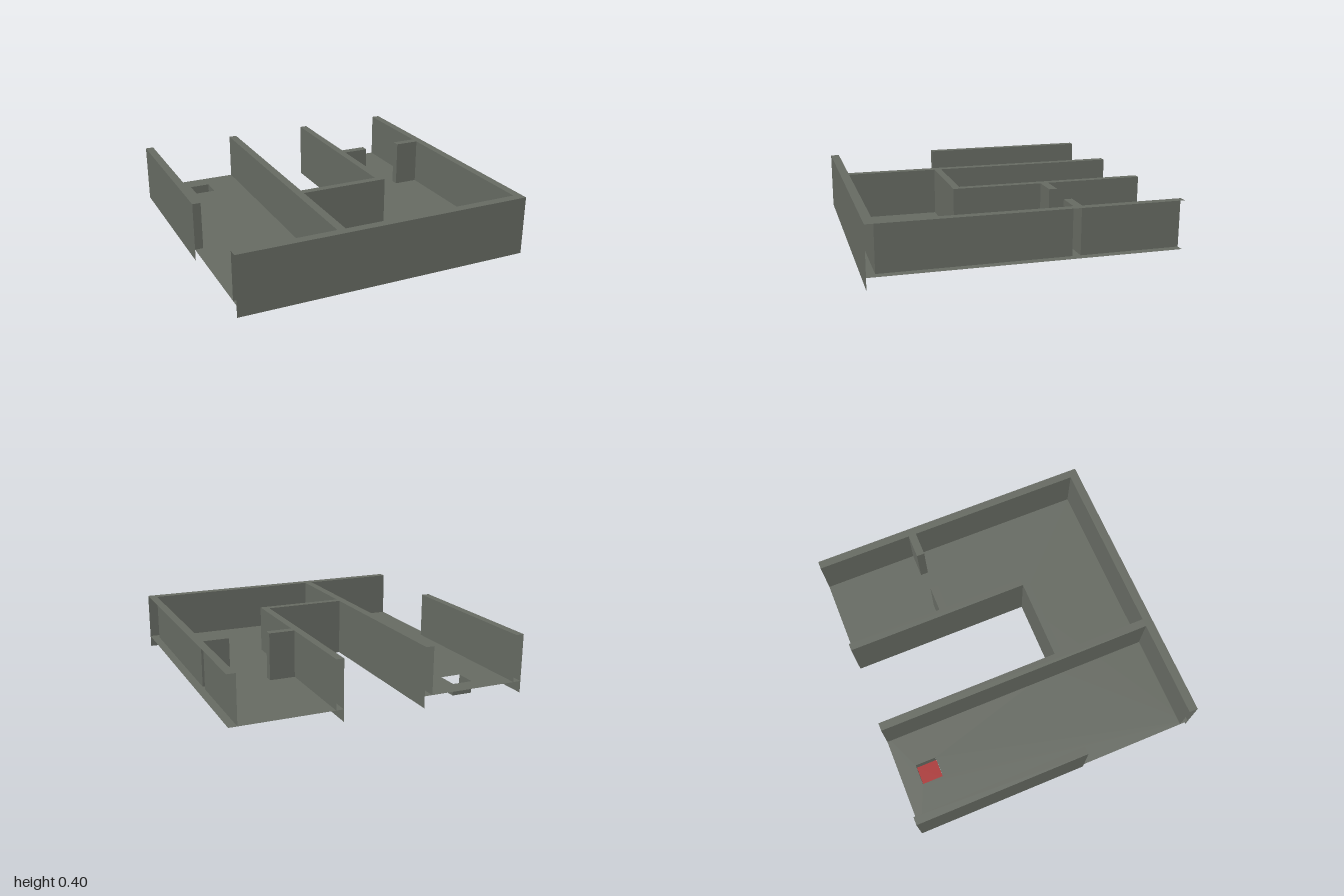
import * as THREE from 'three';

const FLOOR = 0.08, TOP = 0.4, X0 = -1, X1 = 0.995;

export function createModel() {
  const model = new THREE.Group();
  model.name = 'floorPlan';
  const plaster = new THREE.MeshStandardMaterial({ color: 0x666a62, side: THREE.DoubleSide });
  plaster.name = 'grey plaster';
  const red = new THREE.MeshStandardMaterial({ color: 0xa83434, side: THREE.DoubleSide });
  red.name = 'red panel';

  const add = (name, geometry, material = plaster) => {
    const mesh = new THREE.Mesh(geometry, material);
    mesh.name = name;
    model.add(mesh);
  };

  // Upright sheets following a plan polyline of [x, z] points
  const sheets = (name, points, y0, y1) => {
    const position = [];
    for (let i = 0; i < points.length - 1; i++) {
      const [ax, az] = points[i], [bx, bz] = points[i + 1];
      position.push(ax, y0, az, bx, y0, bz, bx, y1, bz, ax, y0, az, bx, y1, bz, ax, y1, az);
    }
    const g = new THREE.BufferGeometry();
    g.setAttribute('position', new THREE.Float32BufferAttribute(position, 3));
    g.computeVertexNormals();
    add(name, g);
  };

  // Horizontal sheet from a plan outline, facing up
  const toPlan = (points) => points.map(([x, z]) => new THREE.Vector2(x, -z));
  const flat = (name, points, y, material, hole) => {
    const shape = new THREE.Shape(toPlan(points));
    if (hole) shape.holes.push(new THREE.Path(toPlan(hole)));
    add(name, new THREE.ShapeGeometry(shape).rotateX(-Math.PI / 2).translate(0, y, 0), material);
  };
  const rect = (x0, z0, x1, z1) => [[x0, z1], [x1, z1], [x1, z0], [x0, z0]];

  // Floor wrapping the courtyard, with a square recess
  const pit = rect(-0.705, -0.875, -0.565, -0.73);
  flat('floor', [[X0, 1], [X1, 1], [X1, -1], [0.275, -1], [0.275, 0.275],
    [-0.28, 0.275], [-0.28, -1], [X0, -1]], FLOOR, plaster, pit);

  // Recess sides (open towards the front) and its red bottom
  sheets('recessSides', [pit[1], pit[2], pit[3], pit[0]], 0, FLOOR);
  flat('recessBottom', pit, 0.001, red);

  // Outer faces running down to the ground
  sheets('frontOuterWall', [[X0, 1], [X1, 1]], 0, TOP);
  sheets('leftOuterWall', [[X0, -1], [X0, 0.2]], 0, TOP);
  sheets('courtyardWall', [[0.275, -1], [0.275, 0.275], [-0.28, 0.275], [-0.28, -1]], 0, TOP);

  // Inner faces standing on the floor
  sheets('leftInnerWall', [[X0, 0.2], [-0.945, 0.2], [-0.945, -1]], FLOOR, TOP);
  sheets('longRoomWall', [[-0.335, -1], [-0.335, 0.94], [X0, 0.94]], FLOOR, TOP);
  sheets('mainRoomWall', [[0.94, -1], [0.94, -0.335], [0.77, -0.335], [0.77, -0.28], [0.94, -0.28],
    [0.94, 0.94], [-0.28, 0.94], [-0.28, 0.325], [0.325, 0.325], [0.325, -0.28],
    [0.5, -0.28], [0.5, -0.335], [0.325, -0.335], [0.325, -1]], FLOOR, TOP);

  // Wall tops
  const tops = {
    rightWallTop: [0.94, -1, X1, 1],
    frontWallTop: [X0, 0.94, 0.94, 1],
    leftWallTop: [X0, -1, -0.945, 0.2],
    dividerTop: [-0.335, -1, -0.28, 0.94],
    courtyardFrontTop: [-0.28, 0.275, 0.325, 0.325],
    courtyardSideTop: [0.275, -1, 0.325, 0.275],
    innerDoorJambTop: [0.325, -0.335, 0.5, -0.28],
    outerDoorJambTop: [0.77, -0.335, 0.94, -0.28],
  };
  for (const [name, r] of Object.entries(tops)) flat(name, rect(...r), TOP, plaster);

  return model;
}
